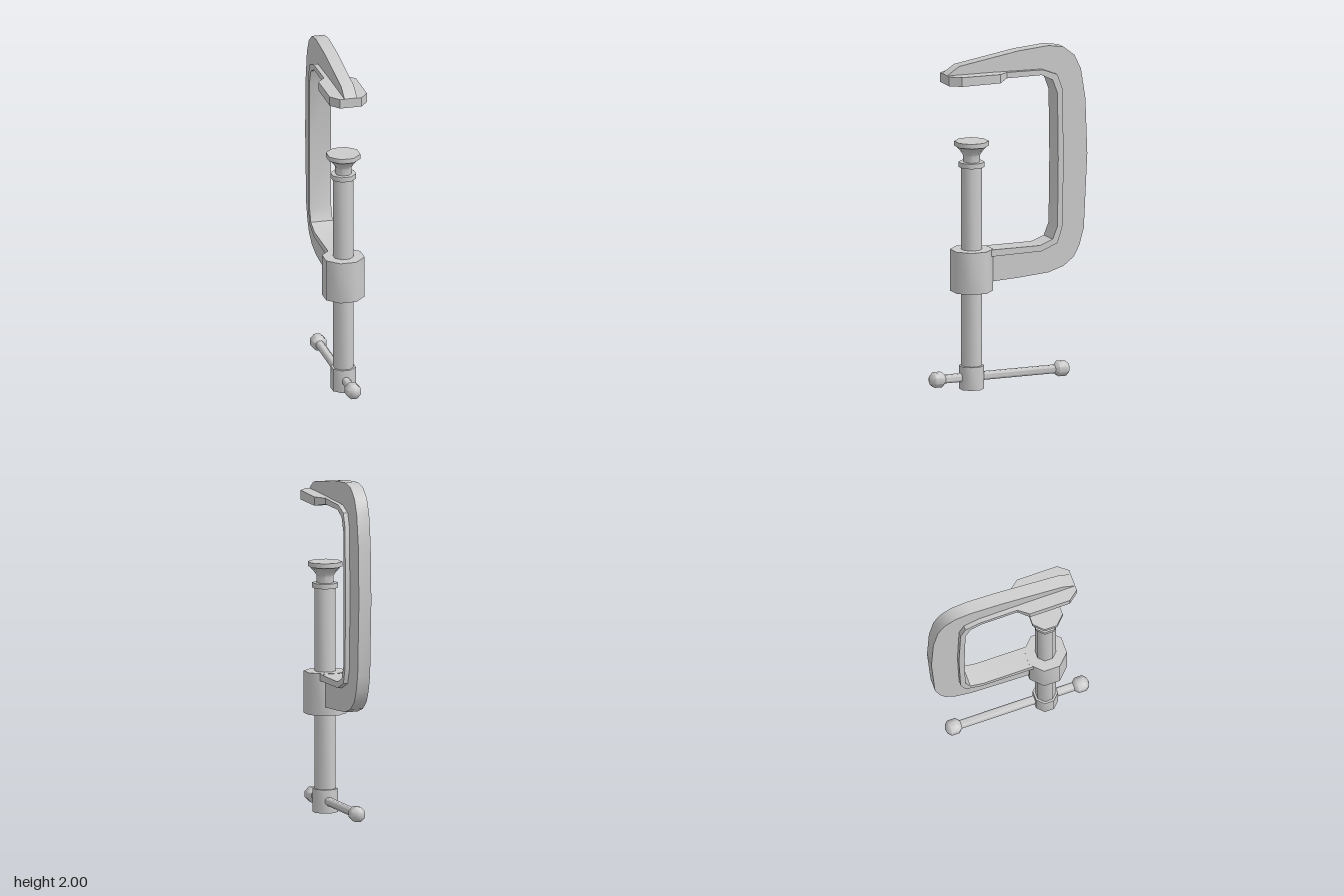
import * as THREE from 'three';
import { toCreasedNormals } from 'three/addons/utils/BufferGeometryUtils.js';

const material = new THREE.MeshStandardMaterial({ color: 0xcccccc });
const SCREW_Z = 0.225;

function add(parent, name, geometry, crease) {
  const mesh = new THREE.Mesh(toCreasedNormals(geometry, crease), material);
  mesh.name = name;
  parent.add(mesh);
  return mesh;
}

// Bar swept through rectangular sections: [inner z, inner y, outer z, outer y, half width]
function bar(sections) {
  const pos = [], idx = [];
  for (const [zi, yi, zo, yo, w] of sections) {
    pos.push(-w, yi, zi, w, yi, zi, w, yo, zo, -w, yo, zo);
  }
  for (let s = 0; s < sections.length - 1; s++) {
    for (let k = 0; k < 4; k++) {
      const a = s * 4 + k, b = s * 4 + (k + 1) % 4;
      idx.push(a, a + 4, b, b, a + 4, b + 4);
    }
  }
  const e = (sections.length - 1) * 4;
  idx.push(0, 1, 2, 0, 2, 3, e, e + 2, e + 1, e, e + 3, e + 2);
  const g = new THREE.BufferGeometry();
  g.setAttribute('position', new THREE.Float32BufferAttribute(pos, 3));
  g.setIndex(idx);
  return g;
}

// Eight-sided turned part; radii are measured to the flats, listed bottom to top
function turned(profile) {
  const points = profile.map(([r, y]) => new THREE.Vector2(r / Math.cos(Math.PI / 8), y));
  return new THREE.LatheGeometry(points, 8, Math.PI / 8);
}

export function createModel() {
  const clamp = new THREE.Group();
  clamp.name = 'cClamp';

  // C-frame: wide inner flange that flares into the fixed jaw pad
  const frame = new THREE.Group();
  frame.name = 'frame';
  clamp.add(frame);
  const W = 0.065, T = 0.038;
  add(frame, 'innerFlangeAndJaw', bar([
    [0.395, 1.82, 0.395, 1.875, 0.065],
    [0.335, 1.82, 0.335, 1.875, 0.112],
    [0.09, 1.82, 0.09, 1.872, 0.112],
    [0.03, 1.835, 0.03, 1.87, W],
    [-0.19, 1.835, -0.20, 1.865, W],
    [-0.26, 1.80, -0.29, 1.83, W],
    [-0.29, 1.72, -0.32, 1.75, W],
    [-0.295, 1.33, -0.33, 1.33, W],
    [-0.29, 0.93, -0.32, 0.92, W],
    [-0.26, 0.855, -0.29, 0.83, W],
    [-0.18, 0.825, -0.19, 0.79, W],
    [0.13, 0.825, 0.13, 0.785, W],
  ]), 0.6);

  // Narrow web backing the flange
  add(frame, 'web', bar([
    [0.395, 1.86, 0.395, 1.876, T],
    [0.32, 1.86, 0.32, 1.925, T],
    [-0.05, 1.86, -0.055, 1.985, T],
    [-0.18, 1.86, -0.245, 2.0, T],
    [-0.23, 1.85, -0.34, 1.985, T],
    [-0.28, 1.83, -0.41, 1.93, T],
    [-0.30, 1.79, -0.45, 1.845, T],
    [-0.315, 1.70, -0.478, 1.67, T],
    [-0.325, 1.33, -0.49, 1.34, T],
    [-0.315, 0.93, -0.468, 0.90, T],
    [-0.30, 0.87, -0.44, 0.80, T],
    [-0.28, 0.83, -0.405, 0.735, T],
    [-0.24, 0.81, -0.34, 0.685, T],
    [-0.19, 0.795, -0.245, 0.655, T],
    [-0.05, 0.79, -0.055, 0.64, T],
    [0.15, 0.79, 0.15, 0.63, T],
  ]), 0.6);

  // Threaded boss at the end of the lower arm
  add(frame, 'boss', turned([[0, 0.58], [0.115, 0.58], [0.115, 0.827], [0, 0.827]]), 0.9)
    .position.z = SCREW_Z;

  // Screw: socket, shaft, stop ring, neck and swivel pad
  const screw = new THREE.Group();
  screw.name = 'screw';
  screw.position.z = SCREW_Z;
  clamp.add(screw);
  add(screw, 'handleSocket', turned([[0, 0], [0.068, 0], [0.068, 0.138], [0, 0.138]]), 0.9);
  add(screw, 'shaft', turned([[0, 0.13], [0.056, 0.13], [0.056, 1.32], [0, 1.32]]), 0.9);
  add(screw, 'stopRing', turned([[0, 1.315], [0.07, 1.315], [0.07, 1.345], [0, 1.345]]), 0.9);
  add(screw, 'swivelPad', turned([
    [0, 1.34], [0.045, 1.34], [0.045, 1.385], [0.06, 1.41], [0.086, 1.44],
    [0.093, 1.44], [0.093, 1.468], [0, 1.468],
  ]), 0.9);

  // Sliding handle with a knob at each end
  const handle = new THREE.Group();
  handle.name = 'handle';
  handle.position.set(0, 0.07, 0.05);
  handle.rotation.x = Math.PI / 2;
  clamp.add(handle);
  add(handle, 'handleRod', turned([[0, -0.41], [0.024, -0.41], [0.024, 0.41], [0, 0.41]]), 0.9);
  for (const side of [1, -1]) {
    const knob = add(handle, side > 0 ? 'frontKnob' : 'backKnob', turned([
      [0.022, 0.345], [0.043, 0.367], [0.043, 0.415], [0.026, 0.434], [0, 0.442],
    ]), 0.95);
    if (side < 0) knob.rotation.x = Math.PI;
  }

  return clamp;
}
